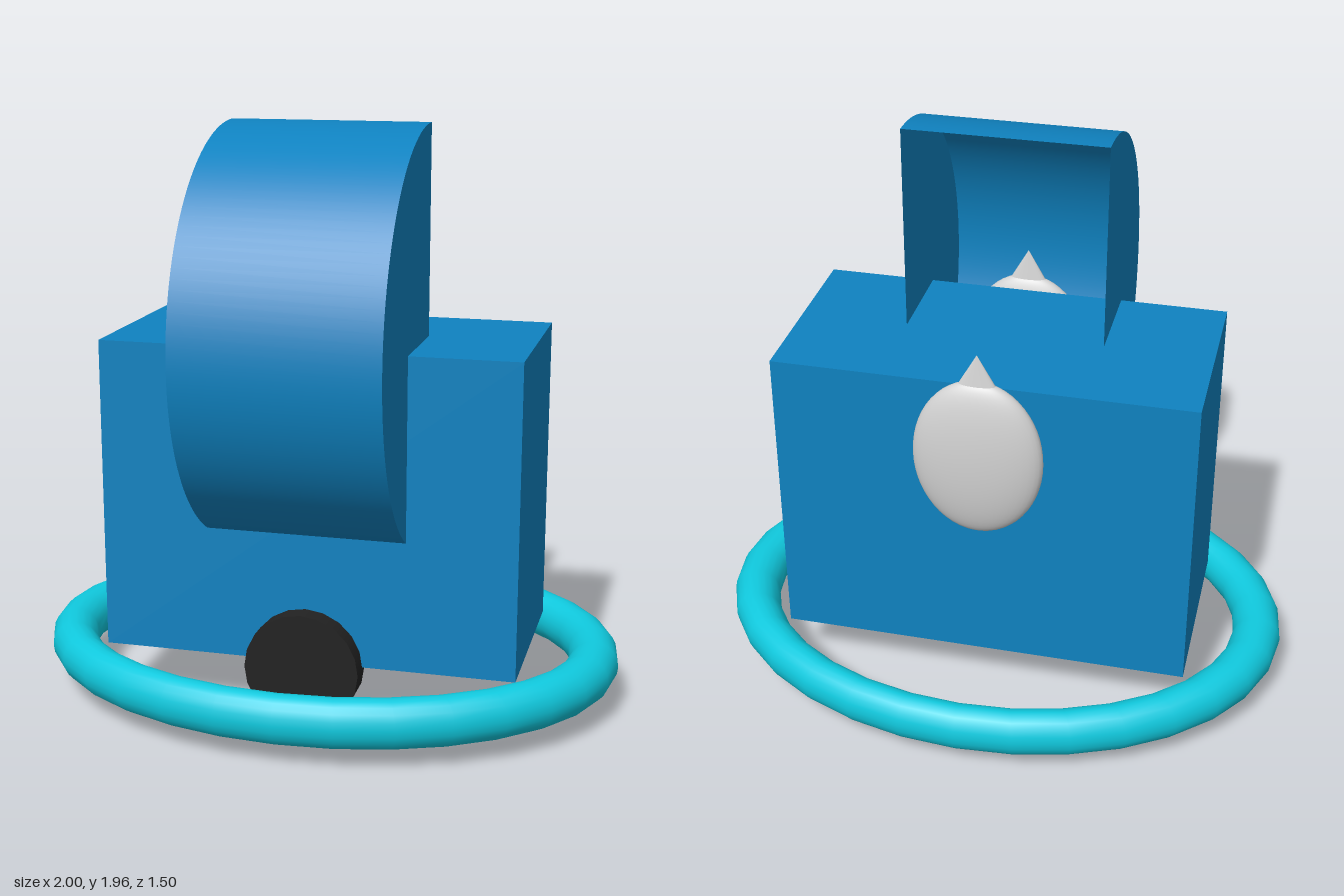
import * as THREE from 'three';

const blue = new THREE.MeshStandardMaterial({ color: 0x0f82c0, side: THREE.DoubleSide });
blue.name = 'blue';
const cyan = new THREE.MeshStandardMaterial({ color: 0x10cadf });
cyan.name = 'cyan';
const black = new THREE.MeshStandardMaterial({ color: 0x222222 });
black.name = 'black';
const grey = new THREE.MeshStandardMaterial({ color: 0xd2d2d2 });
grey.name = 'light grey';

export function createModel() {
  const model = new THREE.Group();
  const add = (name, geometry, material, x, y, z) => {
    const mesh = new THREE.Mesh(geometry, material);
    mesh.name = name;
    mesh.position.set(x, y, z);
    model.add(mesh);
    return mesh;
  };

  // Box-shaped body
  add('body', new THREE.BoxGeometry(1.4, 1.055, 0.67), blue, 0, 0.7275, 0);

  // Hollow half-drum hood, open towards the back
  const hood = new THREE.CylinderGeometry(0.7, 0.7, 0.67, 64, 1, false, -Math.PI / 2, Math.PI);
  hood.rotateZ(Math.PI / 2);
  add('hood', hood, blue, 0, 1.255, 0);

  // Oval ring around the base
  const ring = new THREE.TorusGeometry(0.9175, 0.083, 20, 32);
  ring.rotateX(Math.PI / 2).scale(1, 1, 0.75);
  add('baseRing', ring, cyan, 0, 0.15, 0);

  // Front wheel
  const wheel = new THREE.CylinderGeometry(0.193, 0.193, 0.095, 20);
  wheel.rotateX(Math.PI / 2);
  add('frontWheel', wheel, black, 0, 0.193, 0.353);

  // Flattened ovals with pointed tips, one on the back and one inside the hood
  const oval = new THREE.SphereGeometry(0.215, 40, 28);
  oval.scale(1, 0.283 / 0.215, 0.31);
  const tip = new THREE.ConeGeometry(0.085, 0.15, 32, 1, true);
  tip.scale(1, 1, 0.31);
  for (const [side, s] of [['back', -1], ['front', 1]]) {
    add(side + 'Oval', oval, grey, 0, 1.013, s * 0.375);
    add(side + 'OvalTip', tip, grey, 0, 1.315, s * 0.375);
  }
  return model;
}
